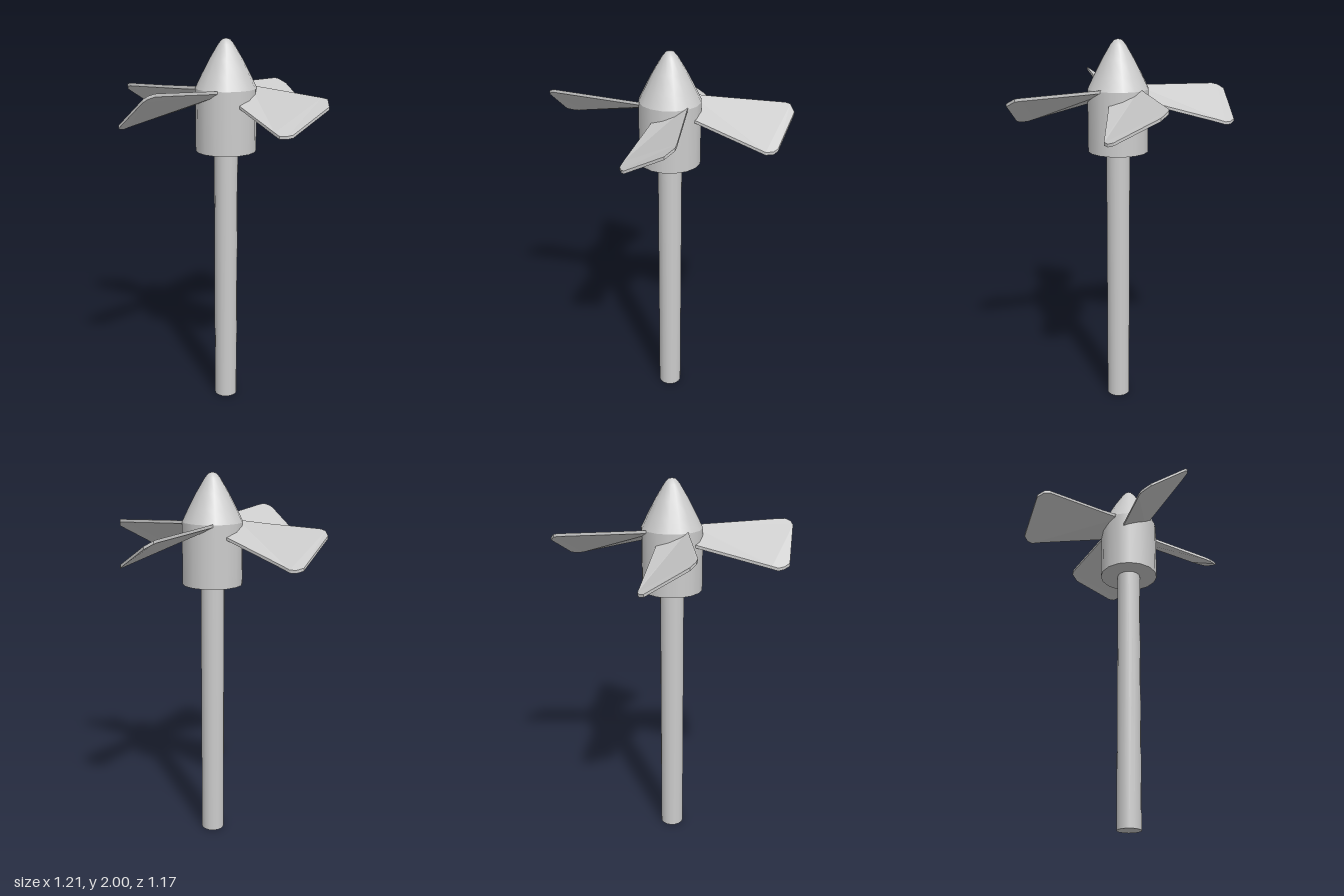
import * as THREE from 'three';

const material = new THREE.MeshStandardMaterial({ color: 0xcccccc });
const AXIS_Z = 0.013;
const THICKNESS = 0.015;

// Each blade: plan outline as [outward, across] points, plus height = base + lift*u - v*(0.33 + twist*u)
const blades = [
  { name: 'leftBlade', base: 1.738, lift: -0.13, twist: 0.45,
    outline: [[0.08, -0.085], [0.15, -0.09], [0.555, -0.125], [0.58, -0.12], [0.605, -0.08],
      [0.555, 0.125], [0.535, 0.148], [0.5, 0.16], [0.47, 0.155], [0.08, 0.07]] },
  { name: 'backBlade', base: 1.742, lift: -0.195, twist: 0.5,
    outline: [[0.08, -0.09], [0.15, -0.102], [0.53, -0.175], [0.56, -0.17], [0.59, -0.145],
      [0.59, 0.06], [0.565, 0.085], [0.535, 0.097], [0.5, 0.093], [0.08, 0.06]] },
  { name: 'rightBlade', base: 1.72, lift: 0, twist: 0.7,
    outline: [[0.08, -0.085], [0.15, -0.085], [0.51, -0.1], [0.567, -0.1], [0.595, -0.085], [0.607, -0.065],
      [0.595, 0.13], [0.57, 0.15], [0.54, 0.162], [0.51, 0.157], [0.08, 0.065]] },
  { name: 'frontBlade', base: 1.735, lift: -0.16, twist: 0.5,
    outline: [[0.08, -0.108], [0.15, -0.115], [0.51, -0.145], [0.545, -0.145], [0.585, -0.105],
      [0.53, 0.095], [0.51, 0.113], [0.475, 0.13], [0.44, 0.124], [0.08, 0.042]] },
];

// Thin twisted plate cut from a rounded-corner outline
function bladeGeometry({ outline, base, lift, twist }) {
  const shape = new THREE.Shape(outline.map(([u, v]) => new THREE.Vector2(u, v)));
  const geo = new THREE.ExtrudeGeometry(shape, { depth: THICKNESS, bevelEnabled: false });
  geo.rotateX(Math.PI / 2);
  const p = geo.attributes.position;
  for (let i = 0; i < p.count; i++) {
    const u = p.getX(i), v = p.getZ(i);
    p.setY(i, p.getY(i) + base + lift * u - v * (0.33 + twist * u));
  }
  geo.computeVertexNormals();
  return geo;
}

export function createModel() {
  const model = new THREE.Group();
  model.name = 'propeller';

  const add = (name, geometry, y = 0, z = AXIS_Z) => {
    const mesh = new THREE.Mesh(geometry, material);
    mesh.name = name;
    mesh.position.set(0, y, z);
    model.add(mesh);
    return mesh;
  };

  // Shaft and hub
  add('shaft', new THREE.CylinderGeometry(0.0625, 0.0625, 1.45, 16), 0.725);
  add('hub', new THREE.CylinderGeometry(0.158, 0.158, 0.325, 16), 1.5895);

  // Nose cone
  const profile = [[0.158, 1.752], [0.125, 1.82], [0.083, 1.9], [0.04, 1.972], [0.02, 1.995], [0, 2]];
  add('noseCone', new THREE.LatheGeometry(profile.map(([r, y]) => new THREE.Vector2(r, y)), 16));

  // Four blades around the hub
  blades.forEach((blade, i) => {
    add(blade.name, bladeGeometry(blade), 0, 0).rotation.y = i * Math.PI / 2;
  });

  return model;
}
